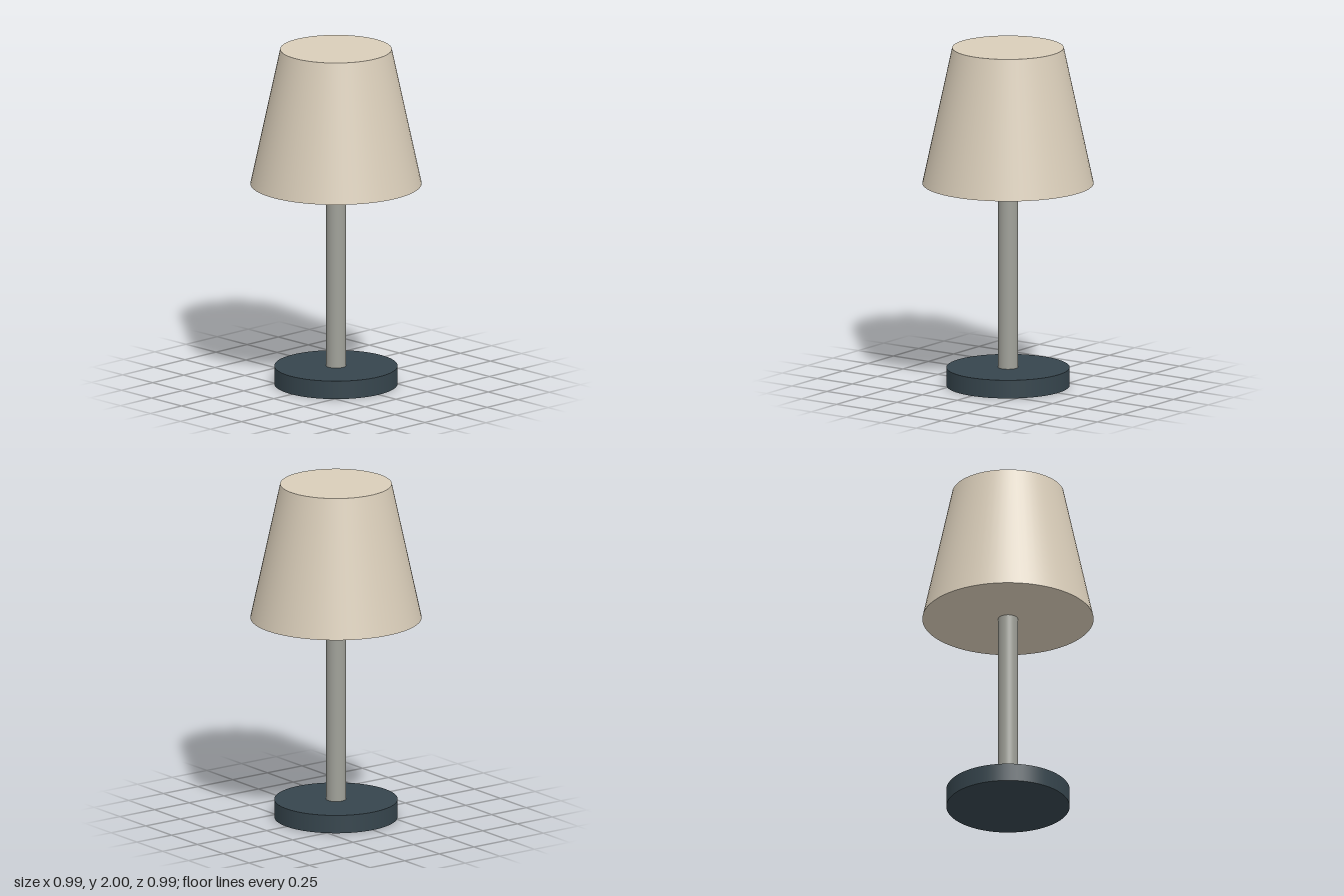
import * as THREE from 'three';

const material = (name, color) => {
  const m = new THREE.MeshStandardMaterial({ color });
  m.name = name;
  return m;
};

// Closed round part standing between two heights
function roundPart(name, topRadius, bottomRadius, bottom, top, mat) {
  const geometry = new THREE.CylinderGeometry(topRadius, bottomRadius, top - bottom, 64);
  const mesh = new THREE.Mesh(geometry, mat);
  mesh.name = name;
  mesh.position.y = (bottom + top) / 2;
  return mesh;
}

export function createModel() {
  const lamp = new THREE.Group();
  lamp.name = 'tableLamp';

  const charcoal = material('charcoal', 0x36454d);
  const grey = material('warm grey', 0xa0a199);
  const linen = material('linen', 0xd9cdb9);

  lamp.add(
    roundPart('base', 0.357, 0.357, 0, 0.107, charcoal),
    roundPart('stem', 0.057, 0.057, 0.107, 1.2, grey),
    roundPart('shade', 0.323, 0.496, 1.197, 2, linen),
  );
  return lamp;
}
